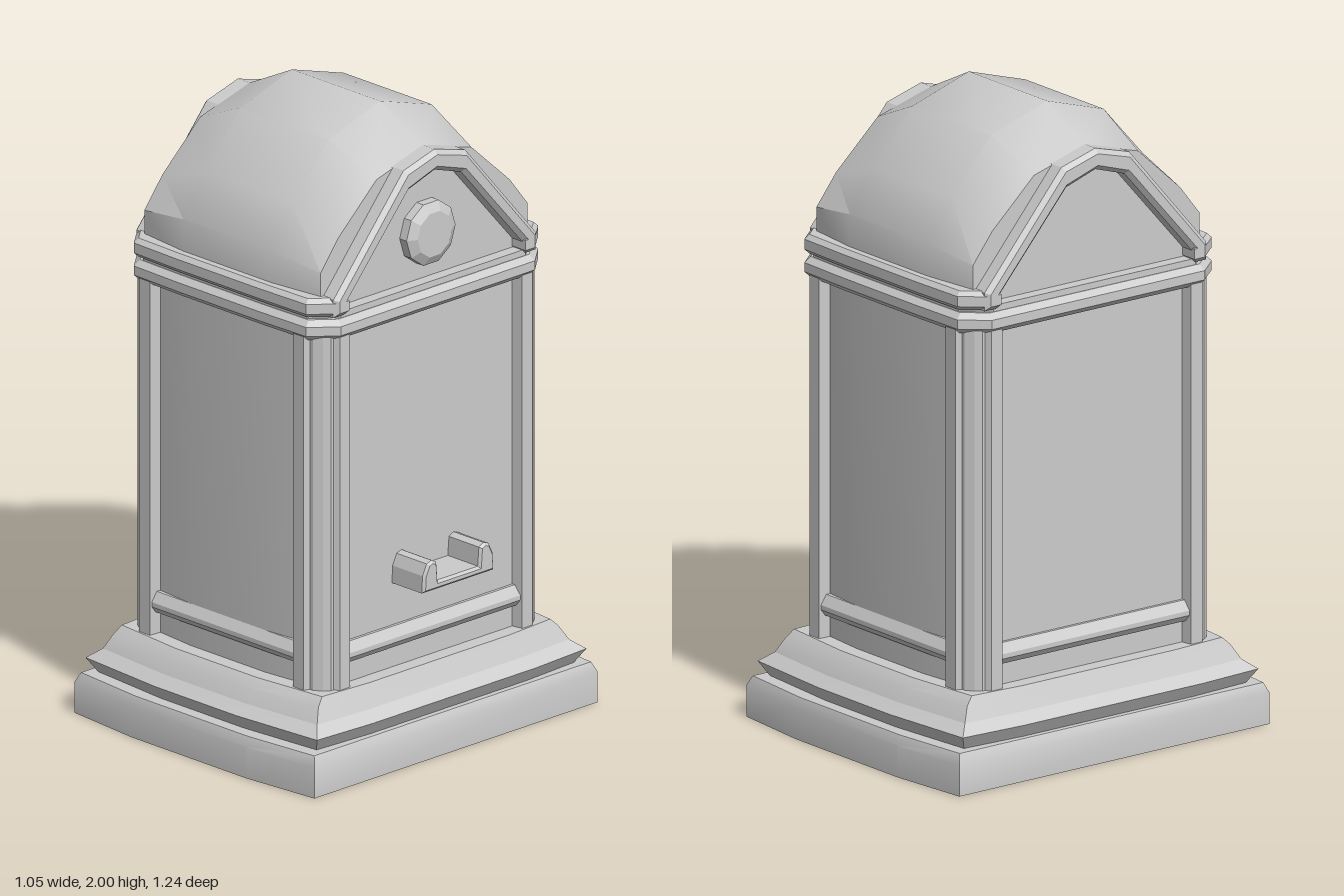
import * as THREE from 'three';
import { toCreasedNormals } from 'three/addons/utils/BufferGeometryUtils.js';

const material = new THREE.MeshStandardMaterial({ color: 0xcccccc });

function part(parent, name, geometry, crease = 0.45) {
  const mesh = new THREE.Mesh(toCreasedNormals(geometry, crease), material);
  mesh.name = name;
  parent.add(mesh);
  return mesh;
}

// Complete a plan from its +x +z quarter, running from the x axis to the z axis
function mirrorPlan(q) {
  const r = [...q].reverse();
  return [
    ...q,
    ...r.map(([x, z]) => [-x, z]),
    ...q.map(([x, z]) => [-x, -z]),
    ...r.map(([x, z]) => [x, -z]),
  ];
}

// Closed solid through equal-length rings of [x, y, z]
function loft(rings) {
  const pos = [];
  const n = rings[0].length;
  for (let k = 0; k < rings.length - 1; k++) {
    for (let i = 0; i < n; i++) {
      const j = (i + 1) % n;
      const a = rings[k][i], b = rings[k][j], c = rings[k + 1][i], d = rings[k + 1][j];
      pos.push(...a, ...c, ...b, ...b, ...c, ...d);
    }
  }
  for (const [ring, top] of [[rings[0], false], [rings[rings.length - 1], true]]) {
    const mid = [0, 1, 2].map((s) => ring.reduce((t, p) => t + p[s], 0) / n);
    for (let i = 0; i < n; i++) {
      const j = (i + 1) % n;
      pos.push(...mid, ...(top ? ring[j] : ring[i]), ...(top ? ring[i] : ring[j]));
    }
  }
  const g = new THREE.BufferGeometry();
  g.setAttribute('position', new THREE.Float32BufferAttribute(pos, 3));
  return g;
}

function extrude(points, length, bevel) {
  const shape = new THREE.Shape(points.map(([x, y]) => new THREE.Vector2(x, y)));
  const g = new THREE.ExtrudeGeometry(shape, {
    depth: length - 2 * bevel, bevelEnabled: bevel > 0, bevelSegments: 1,
    bevelSize: bevel, bevelThickness: bevel, bevelOffset: -bevel,
  });
  return g.translate(0, 0, bevel);
}

// Plan outline [x, z] raised from y0 to y1
function slab(plan, y0, y1, bevel = 0) {
  return extrude(plan.map(([x, z]) => [x, -z]), y1 - y0, bevel).rotateX(-Math.PI / 2).translate(0, y0, 0);
}

// Side outline [z, y] pushed along x from x0 to x1
function sideways(outline, x0, x1, bevel = 0) {
  return extrude(outline.map(([z, y]) => [-z, y]), x1 - x0, bevel).rotateY(Math.PI / 2).translate(x0, 0, 0);
}

export function createModel() {
  const model = new THREE.Group();
  model.name = 'domedBox';
  const box = new THREE.Group();
  box.name = 'cabinet';
  box.position.x = -0.007;
  model.add(box);

  // Plinth with bowed front and back
  part(box, 'plinth', loft([[0, 0.517, 0.62], [0.1, 0.517, 0.62], [0.13, 0.503, 0.607]].map(([y, x, z]) =>
    mirrorPlan([[x, z - 0.025], [x * 0.48, z]]).map(([px, pz]) => [px, y, pz]))));

  // Stepped moulding above the plinth
  part(box, 'baseMoulding', loft([
    [0.12, 0.478, 0.56], [0.175, 0.512, 0.592], [0.205, 0.475, 0.555], [0.25, 0.455, 0.53], [0.275, 0.445, 0.505],
  ].map(([y, x, z]) =>
    mirrorPlan([[x, z * 0.58], [x - 0.013, z - 0.025], [0.175, z]]).map(([px, pz]) => [px, y, pz]))), 0.3);

  // Body with slightly bowed front and back panels
  part(box, 'body', slab(mirrorPlan([[0.395, 0.37], [0.315, 0.44], [0.16, 0.455]]), 0.25, 1.45));

  // Fluted corner posts
  const post = [[0.3, 0.34], [0.432, 0.362], [0.432, 0.405], [0.415, 0.415], [0.415, 0.425], [0.4, 0.445],
    [0.375, 0.462], [0.362, 0.462], [0.355, 0.482], [0.308, 0.482]];
  for (const sx of [-1, 1]) for (const sz of [-1, 1]) {
    part(box, 'cornerPost', slab(post.map(([x, z]) => [x * sx, z * sz]), 0.26, 1.42), 0.2);
  }

  // Sills low on each panel
  const sill = [[0, 0.345], [0.025, 0.345], [0.04, 0.365], [0.04, 0.38], [0.02, 0.41], [0, 0.41]];
  for (const s of [-1, 1]) {
    const across = part(box, 'panelSill', sideways(sill.map(([d, y]) => [d + 0.435, y]), -0.315, 0.315), 0.2);
    across.rotation.y = s > 0 ? 0 : Math.PI;
    const along = part(box, 'sideSill', sideways(sill.map(([d, y]) => [d + 0.385, y]), -0.365, 0.365), 0.2);
    along.rotation.y = s * Math.PI / 2;
  }

  // Cornice: full lower band, recessed groove, upper band on front and back
  const cornice = (x, z) => mirrorPlan([[x, z - 0.08], [x - 0.068, z], [0.18, z + 0.005]]);
  part(box, 'lowerCornice', slab(cornice(0.44, 0.488), 1.4, 1.465, 0.018), 0.2);
  part(box, 'corniceGroove', slab(cornice(0.42, 0.468), 1.44, 1.485), 0.2);
  for (const s of [-1, 1]) {
    const strip = [[0.438, 0.37], [0.438, 0.41], [0.372, 0.488], [0.18, 0.493],
      [-0.18, 0.493], [-0.372, 0.488], [-0.438, 0.41], [-0.438, 0.37]];
    part(box, 'upperCornice', slab(strip.map(([x, z]) => [x, z * s]), 1.475, 1.535, 0.014), 0.2);
  }

  // Domed roof, higher in the middle than at its ends
  const endHalf = [[0.435, 1.47], [0.435, 1.61], [0.36, 1.705], [0.2, 1.85]];
  const midHalf = [[0.457, 1.47], [0.457, 1.637], [0.367, 1.765], [0.217, 1.933]];
  const arch = (half, peak, x) => [...half, [0, peak], ...[...half].reverse().map(([z, y]) => [-z, y])]
    .map(([z, y]) => [x, y, z]);
  part(box, 'roofDome', loft([
    arch(endHalf, 1.905, -0.38), arch(midHalf, 2, -0.19), arch(midHalf, 2, 0.19), arch(endHalf, 1.905, 0.38),
  ]), 0.65);

  // Gable frames on both sides
  const outer = [[0.425, 1.475], [0.425, 1.532], [0.13, 1.872], [0, 1.908]];
  const inner = [[0, 1.842], [0.112, 1.806], [0.405, 1.475]];
  const flip = (list) => [...list].reverse().map(([z, y]) => [-z, y]);
  const frame = [...outer, ...flip(outer.slice(0, 3)), ...flip(inner.slice(1)), ...[...inner].slice(0, 1), ...inner.slice(1)];
  for (const s of [-1, 1]) {
    const gable = part(box, 'gableFrame', sideways(frame, 0.34, 0.438, 0.014), 0.2);
    gable.rotation.y = s > 0 ? 0 : Math.PI;
  }

  // Round boss on the right gable
  const boss = new THREE.LatheGeometry([[0, 0.045], [0.073, 0.045], [0.103, 0.028], [0.103, -0.01]]
    .reverse().map(([r, h]) => new THREE.Vector2(r, h)), 10);
  part(box, 'gableBoss', boss.rotateZ(-Math.PI / 2).translate(0.382, 1.635, 0), 0.3);

  // Bracket with upturned ends on the right side
  const end = [[0.15, 0.545], [0.147, 0.6], [0.13, 0.635], [0.11, 0.642], [0.09, 0.632], [0.085, 0.572]];
  part(box, 'sideBracket', sideways([...end, ...flip(end)], 0.38, 0.532, 0.008), 0.3);

  return model;
}
